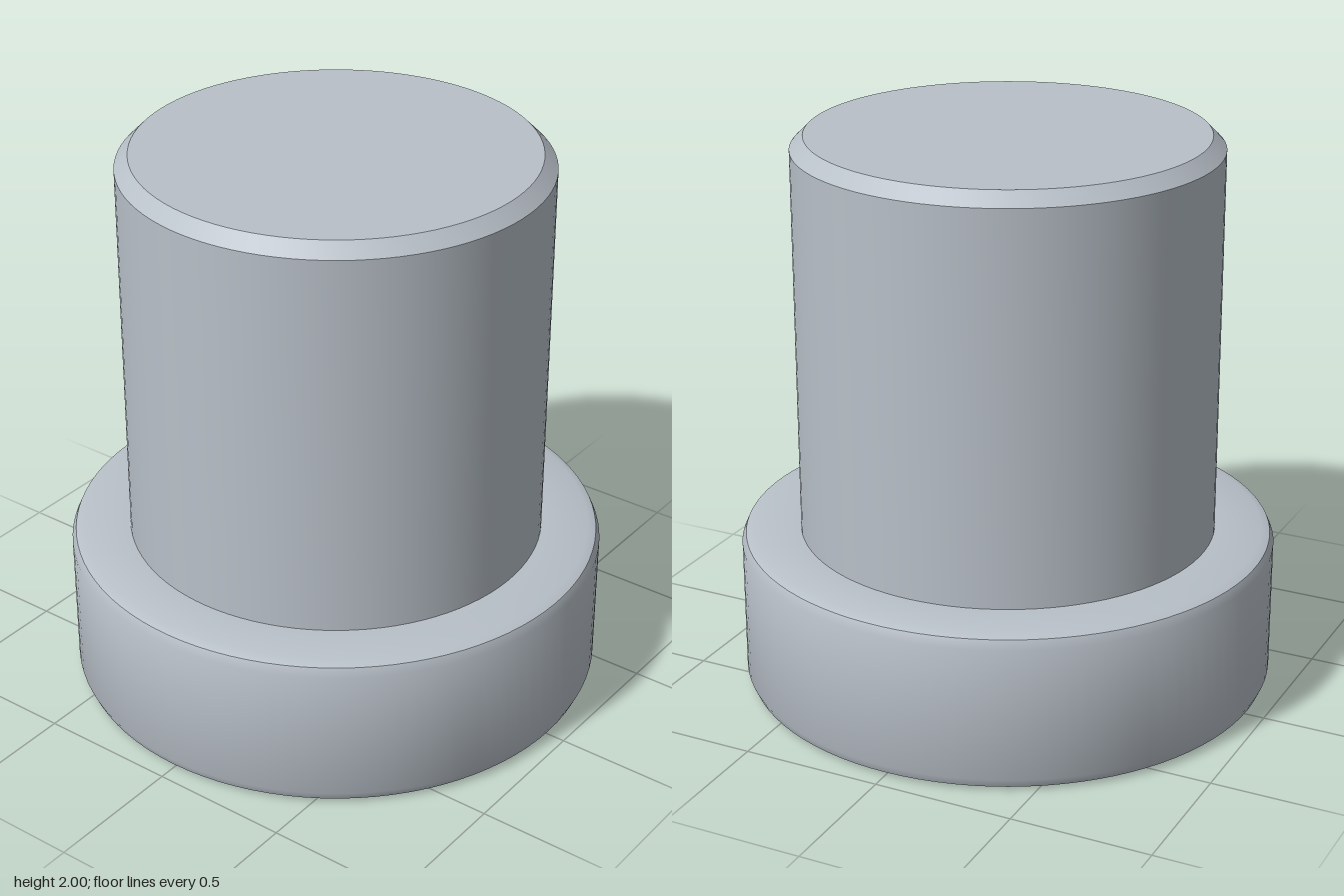
import * as THREE from 'three';
import { toCreasedNormals } from 'three/addons/utils/BufferGeometryUtils.js';

const SEGMENTS = 96;
const FLANGE_R = 0.95, FLANGE_H = 0.57;
const SHAFT_R = 0.74, HEIGHT = 2, CHAMFER = 0.047;

// Revolve a [radius, height] profile, listed from bottom to top
function turned(name, profile, material) {
  const points = profile.map(([r, y]) => new THREE.Vector2(r, y));
  const geometry = toCreasedNormals(new THREE.LatheGeometry(points, SEGMENTS), 0.52);
  const mesh = new THREE.Mesh(geometry, material);
  mesh.name = name;
  return mesh;
}

export function createModel() {
  const group = new THREE.Group();
  group.name = 'flangedPin';

  const steel = new THREE.MeshStandardMaterial({ color: 0xb8c0c8 });
  steel.name = 'steel grey';

  // Wide base disc with two-step rounded rims
  group.add(turned('flange', [
    [0, 0],
    [FLANGE_R - 0.045, 0],
    [FLANGE_R - 0.014, 0.013],
    [FLANGE_R, 0.045],
    [FLANGE_R, FLANGE_H - 0.045],
    [FLANGE_R - 0.014, FLANGE_H - 0.013],
    [FLANGE_R - 0.045, FLANGE_H],
    [SHAFT_R, FLANGE_H],
  ], steel));

  // Upright cylinder with a chamfered top edge
  group.add(turned('shaft', [
    [SHAFT_R, FLANGE_H],
    [SHAFT_R, HEIGHT - CHAMFER],
    [SHAFT_R - CHAMFER, HEIGHT],
    [0, HEIGHT],
  ], steel));

  return group;
}
